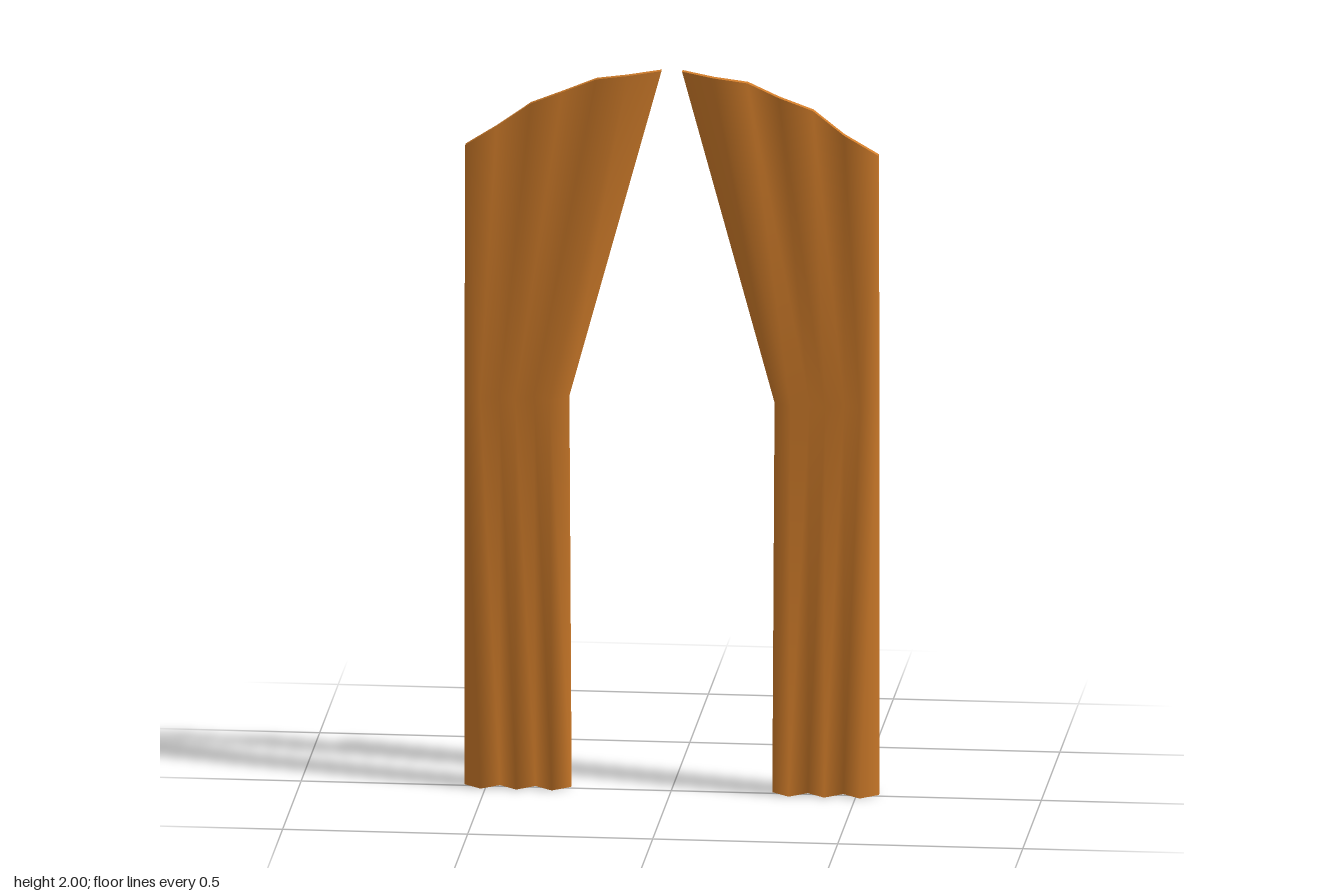
import * as THREE from 'three';
import { mergeGeometries } from 'three/addons/utils/BufferGeometryUtils.js';

const FOLDS = 6;
const DEPTH = 0.03;
const THICKNESS = 0.018;
const TOP_Y = [2.0, 1.995, 1.972, 1.945, 1.9, 1.845, 1.78];

// Pleat lines at three heights: hem, tie-back bend and arched top
const ROWS = [
  { inner: 0.272, outer: 0.56, y: () => 0 },
  { inner: 0.278, outer: 0.56, y: () => 1.085 },
  { inner: 0.028, outer: 0.558, y: (i) => TOP_Y[i] },
];

// Point on the pleated cloth; odd pleat lines are front ridges
function clothPoint(row, i, side, back) {
  const x = THREE.MathUtils.lerp(row.inner, row.outer, i / FOLDS);
  const ridge = i % 2 === 1;
  const front = ridge ? DEPTH : -DEPTH + THICKNESS;
  return [side * x, row.y(i), back ? front - THICKNESS : front];
}

// Smooth surface over a grid of points
function surface(grid, flip) {
  const cols = grid[0].length;
  const index = [];
  for (let r = 0; r < grid.length - 1; r++) {
    for (let c = 0; c < cols - 1; c++) {
      const a = r * cols + c, b = a + 1, d = a + cols, e = d + 1;
      if (flip) index.push(a, e, b, a, d, e);
      else index.push(a, b, e, a, e, d);
    }
  }
  const geo = new THREE.BufferGeometry();
  geo.setAttribute('position', new THREE.Float32BufferAttribute(grid.flat(2), 3));
  geo.setIndex(index);
  geo.computeVertexNormals();
  return geo;
}

function curtainGeometry(side) {
  const flip = side < 0;
  const lines = Array.from({ length: FOLDS + 1 }, (_, i) => i);
  const front = ROWS.map((row) => lines.map((i) => clothPoint(row, i, side, false)));
  const back = ROWS.map((row) => lines.map((i) => clothPoint(row, i, side, true)));
  const column = (grid, i) => grid.map((row) => row[i]);
  const top = ROWS.length - 1;
  return mergeGeometries([
    surface(front, flip),
    surface(back, !flip),
    // Hem, top edge and the two side edges
    surface([back[0], front[0]], flip),
    surface([front[top], back[top]], flip),
    surface([column(front, 0), column(back, 0)], !flip),
    surface([column(front, FOLDS), column(back, FOLDS)], flip).clone(),
  ].map((g, n) => {
    // Side edges run upwards, so they wind the other way to the hem
    if (n < 4) return g;
    return surfaceFacing(g, n === 4 ? -side : side);
  }));
}

// Make a side edge face the given x direction
function surfaceFacing(geo, dir) {
  if (geo.attributes.normal.getX(0) * dir < 0) {
    geo.setIndex(Array.from(geo.index.array).reverse());
    geo.computeVertexNormals();
  }
  return geo;
}

export function createModel() {
  const group = new THREE.Group();
  group.name = 'curtains';
  const cloth = new THREE.MeshStandardMaterial({ color: 0xd07c2a });
  for (const [name, side] of [['leftCurtain', 1], ['rightCurtain', -1]]) {
    const mesh = new THREE.Mesh(curtainGeometry(side), cloth);
    mesh.name = name;
    group.add(mesh);
  }
  return group;
}
